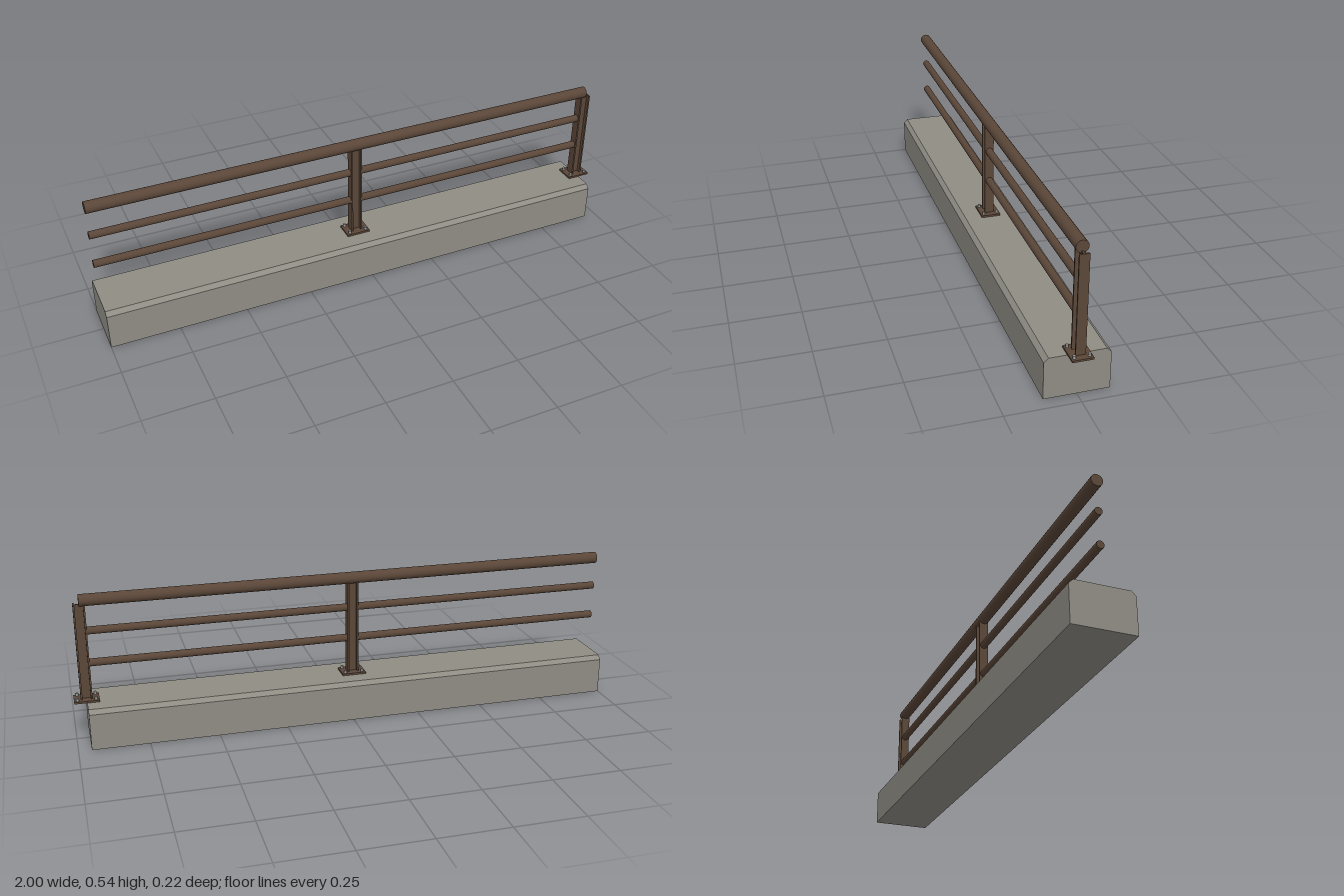
import * as THREE from 'three';

const steel = new THREE.MeshStandardMaterial({ color: 0x5a4638 });
const concrete = new THREE.MeshStandardMaterial({ color: 0x8f8c84 });
const zinc = new THREE.MeshStandardMaterial({ color: 0x9a9a98 });

const LEFT = -1, END = 0.954, MID = (LEFT + END) / 2;
const CURB_TOP = 0.148, PLATE_TOP = 0.155, POST_TOP = 0.503;
const POST_HALF = 0.0205;

function add(parent, name, geometry, material, x = 0, y = 0, z = 0) {
  const mesh = new THREE.Mesh(geometry, material);
  mesh.name = name;
  mesh.position.set(x, y, z);
  parent.add(mesh);
  return mesh;
}

function shapeFrom(points) {
  return new THREE.Shape(points.map(([x, y]) => new THREE.Vector2(x, y)));
}

// Round bar running along x
function addRail(parent, name, x0, x1, y, radius) {
  const geometry = new THREE.CylinderGeometry(radius, radius, x1 - x0, 20).rotateZ(Math.PI / 2);
  add(parent, name, geometry, steel, (x0 + x1) / 2, y, 0);
}

// I-section post on a bolted base plate
function createPost(x) {
  const post = new THREE.Group();
  post.name = 'post';
  post.position.x = x;

  const h = POST_HALF, w = 0.0168, f = 0.0145, t = 0.003;
  const half = [[-h, -w], [-f, -w], [-f, -t], [f, -t], [f, -w], [h, -w]];
  const section = shapeFrom([...half, ...half.map(([a, b]) => [-a, -b])]);
  const beam = new THREE.ExtrudeGeometry(section, { depth: POST_TOP - PLATE_TOP, bevelEnabled: false });
  add(post, 'postBeam', beam.rotateX(-Math.PI / 2), steel, 0, PLATE_TOP, 0);

  const thick = PLATE_TOP - CURB_TOP;
  add(post, 'basePlate', new THREE.BoxGeometry(0.089, thick, 0.071), steel, 0, CURB_TOP + thick / 2, 0);

  for (const sx of [-1, 1]) {
    for (const sz of [-1, 1]) {
      const bolt = new THREE.CylinderGeometry(0.0055, 0.0055, 0.01, 8);
      add(post, 'bolt', bolt, zinc, sx * 0.032, PLATE_TOP + 0.005, sz * 0.025);
    }
  }
  return post;
}

export function createModel() {
  const model = new THREE.Group();
  model.name = 'railing';

  // Concrete curb with chamfered top edges
  const profile = shapeFrom([
    [-0.11, 0], [0.11, 0], [0.11, 0.133], [0.095, CURB_TOP], [-0.095, CURB_TOP], [-0.11, 0.133],
  ]);
  const curb = new THREE.ExtrudeGeometry(profile, { depth: END - LEFT, bevelEnabled: false });
  add(model, 'curb', curb.rotateY(Math.PI / 2), concrete, LEFT, 0, 0);

  // Posts
  for (const x of [MID, END]) model.add(createPost(x));

  // Handrail over the posts, and infill rails stopping at the post flanges
  addRail(model, 'handrail', LEFT, END, 0.517, 0.0213);
  for (const y of [0.286, 0.405]) {
    addRail(model, 'lowerRail', LEFT, MID - POST_HALF, y, 0.0138);
    addRail(model, 'lowerRail', MID + POST_HALF, END - POST_HALF, y, 0.0138);
  }
  return model;
}
